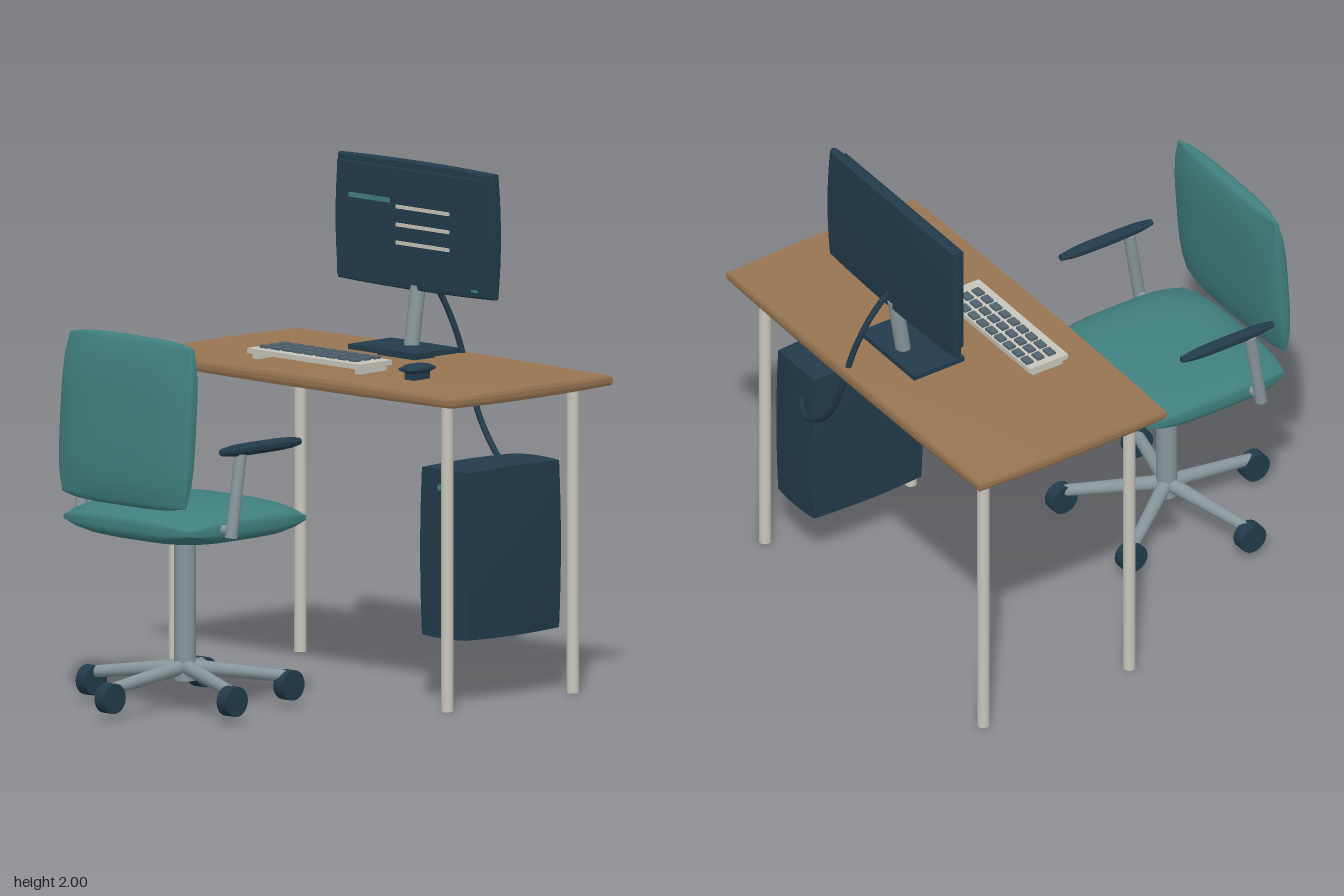
import * as THREE from 'three';
import { toCreasedNormals } from 'three/addons/utils/BufferGeometryUtils.js';

const material = (name, color) => {
  const m = new THREE.MeshStandardMaterial({ color });
  m.name = name;
  return m;
};

export function createModel() {
  const teal = material('teal fabric', 0x40807f);
  const wood = material('wood', 0x987552);
  const navy = material('navy plastic', 0x223b4b);
  const metal = material('grey metal', 0x87969b);
  const cream = material('cream', 0xc8c6bb);
  const slate = material('slate keys', 0x52646f);

  const model = new THREE.Group();
  const group = (name, parent = model) => {
    const g = new THREE.Group();
    g.name = name;
    parent.add(g);
    return g;
  };
  const add = (parent, name, geometry, mat, x = 0, y = 0, z = 0) => {
    const m = new THREE.Mesh(geometry, mat);
    m.name = name;
    m.position.set(x, y, z);
    parent.add(m);
    return m;
  };
  const box = (w, h, d) => new THREE.BoxGeometry(w, h, d);

  // Box whose faces swell gently: each axis shrinks by e towards the edges
  const pillow = (w, h, d, e, power = 4) => {
    const g = new THREE.BoxGeometry(w, h, d, 10, 8, 10);
    const p = g.attributes.position;
    for (let i = 0; i < p.count; i++) {
      const u = 2 * p.getX(i) / w, v = 2 * p.getY(i) / h, t = 2 * p.getZ(i) / d;
      const [a, b, c] = [u, v, t].map((n) => Math.abs(n) ** power);
      p.setXYZ(i, u * (w / 2 - e * (b + c) / 2), v * (h / 2 - e * (a + c) / 2), t * (d / 2 - e * (a + b) / 2));
    }
    return toCreasedNormals(g, 0.6);
  };

  // Round bar between two points
  const bar = (parent, name, from, to, r0, r1, mat) => {
    const a = new THREE.Vector3(...from), b = new THREE.Vector3(...to);
    const dir = b.clone().sub(a);
    const m = add(parent, name, new THREE.CylinderGeometry(r1, r0, dir.length(), 16), mat);
    m.position.copy(a).add(b).multiplyScalar(0.5);
    m.quaternion.setFromUnitVectors(new THREE.Vector3(0, 1, 0), dir.normalize());
    return m;
  };

  // Desk
  const desk = group('desk');
  add(desk, 'deskTop', pillow(1.74, 0.06, 0.89, 0.012, 2), wood, 0, 1.218, -0.517);
  for (const x of [-0.745, 0.745]) {
    for (const z of [-0.175, -0.855]) bar(desk, 'deskLeg', [x, 0, z], [x, 1.195, z], 0.024, 0.024, cream);
  }

  // Monitor
  const monitor = group('monitor');
  add(monitor, 'monitorCase', pillow(0.87, 0.505, 0.062, 0.014, 2), navy, 0, 1.7475, -0.756);
  add(monitor, 'screen', box(0.8, 0.445, 0.02), navy, 0, 1.745, -0.722);
  add(monitor, 'titleLine', box(0.22, 0.018, 0.006), teal, -0.22, 1.84, -0.709);
  for (const y of [1.82, 1.75, 1.68]) add(monitor, 'textLine', box(0.29, 0.014, 0.006), cream, 0.07, y, -0.709);
  add(monitor, 'powerLight', box(0.03, 0.01, 0.006), teal, 0.355, 1.535, -0.709);
  bar(monitor, 'monitorPole', [0, 1.275, -0.718], [0, 1.53, -0.758], 0.03, 0.03, metal);
  add(monitor, 'monitorBase', box(0.37, 0.02, 0.235), navy, 0, 1.279, -0.677);
  add(monitor, 'monitorFoot', box(0.2, 0.03, 0.11), navy, 0, 1.258, -0.69);

  // Keyboard
  const keyboard = group('keyboard');
  add(keyboard, 'keyboardCase', box(0.61, 0.02, 0.18), cream, -0.09, 1.277, -0.31);
  for (const x of [-0.37, 0.19]) add(keyboard, 'keyboardFoot', box(0.03, 0.026, 0.14), cream, x, 1.256, -0.31);
  for (let row = 0; row < 3; row++) {
    for (let col = 0; col < 9; col++) {
      add(keyboard, 'key', box(0.043, 0.012, 0.032), slate, -0.344 + col * 0.0605, 1.291, -0.377 + row * 0.0515);
    }
  }

  // Mouse
  add(model, 'mouse', pillow(0.095, 0.036, 0.15, 0.018), navy, 0.435, 1.287, -0.32);
  add(model, 'mouseFoot', box(0.05, 0.026, 0.09), navy, 0.435, 1.258, -0.32);

  // Computer tower and its cable
  const tower = group('computerTower');
  add(tower, 'towerCase', pillow(0.265, 0.67, 0.52, 0.01, 2), navy, 0.583, 0.58, -0.57);
  const button = add(tower, 'towerButton', new THREE.CylinderGeometry(0.012, 0.012, 0.02, 12), teal, 0.58, 0.84, -0.305);
  button.rotation.x = Math.PI / 2;
  const path = new THREE.CatmullRomCurve3([
    [0, 1.58, -0.785], [0.02, 1.47, -0.86], [0.05, 1.32, -0.915], [0.09, 1.16, -0.935],
    [0.17, 0.99, -0.928], [0.3, 0.85, -0.905], [0.44, 0.775, -0.875], [0.55, 0.77, -0.82],
  ].map((p) => new THREE.Vector3(...p)));
  add(model, 'cable', new THREE.TubeGeometry(path, 48, 0.012, 8), navy);

  // Chair, turned on a column at z = 0.508
  const chair = group('chair');
  const cz = 0.508;
  add(chair, 'seat', pillow(0.74, 0.15, 0.69, 0.055), teal, 0, 0.75, cz);
  const back = add(chair, 'backrest', pillow(0.71, 0.66, 0.1, 0.04), teal, 0, 1.16, 0.815);
  back.rotation.x = -0.07;
  bar(chair, 'column', [0, 0.115, cz], [0, 0.69, cz], 0.042, 0.042, metal);

  // Armrests
  for (const s of [-1, 1]) {
    const arm = group(s > 0 ? 'leftArmrest' : 'rightArmrest', chair);
    bar(arm, 'armSupport', [s * 0.413, 0.728, 0.667], [s * 0.413, 1.05, 0.615], 0.024, 0.024, metal);
    bar(arm, 'armBracket', [s * 0.34, 0.755, 0.66], [s * 0.413, 0.755, 0.66], 0.02, 0.02, metal);
    add(arm, 'armPad', pillow(0.05, 0.048, 0.43, 0.018), navy, s * 0.413, 1.067, 0.508);
  }

  // Five spokes with wheels, all rolling the same way
  for (let i = 0; i < 5; i++) {
    const a = i * Math.PI * 2 / 5;
    const x = 0.405 * Math.sin(a), z = cz + 0.405 * Math.cos(a);
    bar(chair, 'spoke', [0, 0.17, cz], [x, 0.12, z], 0.03, 0.023, metal);
    const wheel = add(chair, 'wheel', new THREE.CylinderGeometry(0.059, 0.059, 0.053, 20), navy, x, 0.087, z);
    wheel.rotation.z = Math.PI / 2;
  }
  return model;
}
